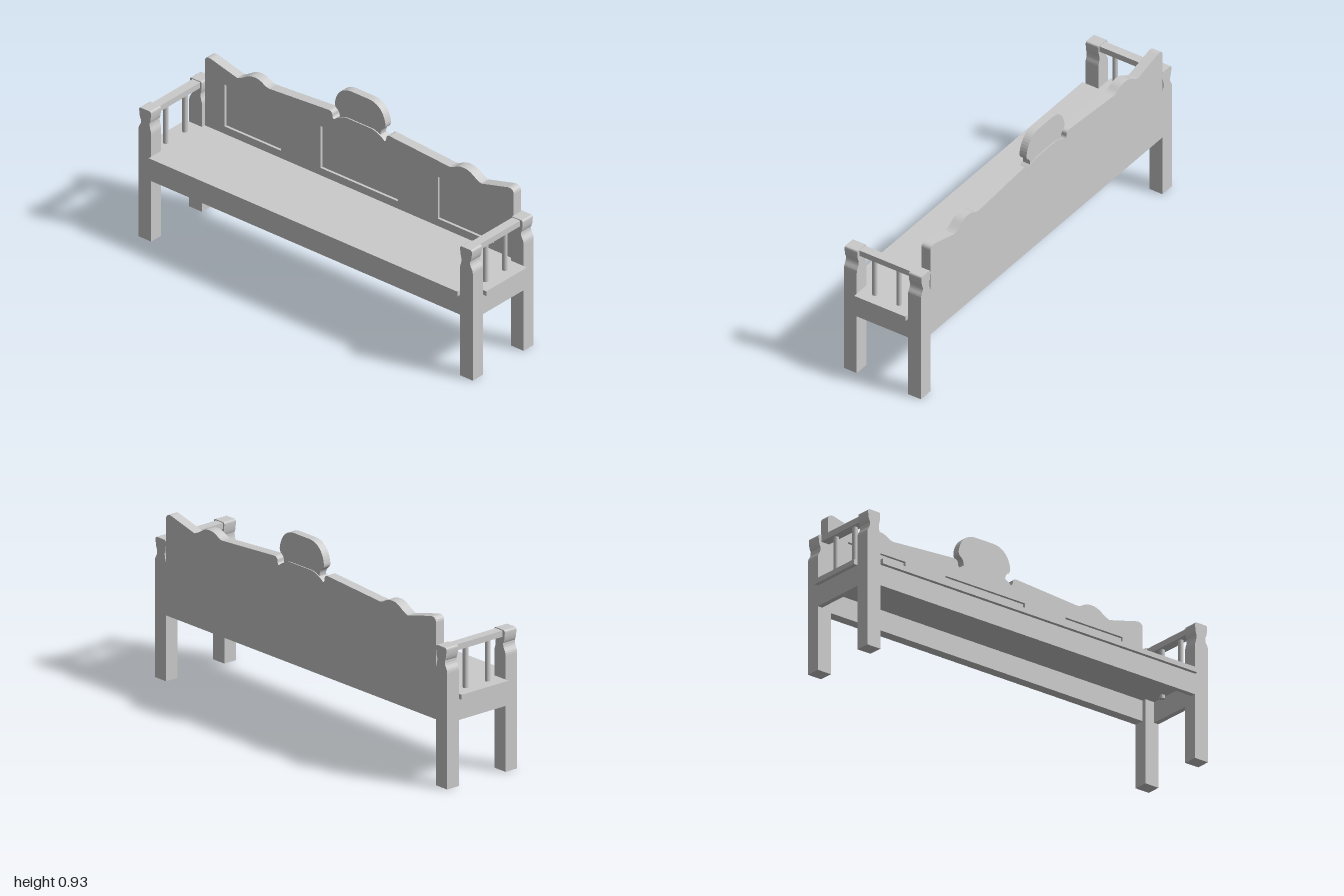
import * as THREE from 'three';

const material = new THREE.MeshStandardMaterial({ color: 0xcccccc, flatShading: true });

function add(group, name, geometry) {
  const mesh = new THREE.Mesh(geometry, material);
  mesh.name = name;
  group.add(mesh);
  return mesh;
}

// Box given by its minimum and maximum on each axis
function box(group, name, [x0, x1], [y0, y1], [z0, z1]) {
  const mesh = add(group, name, new THREE.BoxGeometry(x1 - x0, y1 - y0, z1 - z0));
  mesh.position.set((x0 + x1) / 2, (y0 + y1) / 2, (z0 + z1) / 2);
}

// Shape extruded from z0 to z1
function slab(group, name, shape, z0, z1) {
  const geometry = new THREE.ExtrudeGeometry(shape, { depth: z1 - z0, bevelEnabled: false, curveSegments: 8 });
  add(group, name, geometry.translate(0, 0, z0));
}

// Closed outline, symmetric about x = 0, from the points of its right half
function mirroredShape(half) {
  const left = half.map((p) => new THREE.Vector2(-p.x, p.y)).reverse();
  return new THREE.Shape([...half, ...left]);
}

// Post outline with a waisted, rounded top; side is +1 or -1
function postShape(side) {
  const s = new THREE.Shape();
  s.moveTo(0.905, 0);
  s.lineTo(0.98, 0);
  s.lineTo(0.98, 0.55);
  s.bezierCurveTo(0.98, 0.575, 0.963, 0.575, 0.964, 0.605);
  s.quadraticCurveTo(0.974, 0.62, 0.975, 0.655);
  s.quadraticCurveTo(0.975, 0.667, 0.965, 0.667);
  s.lineTo(0.914, 0.667);
  s.quadraticCurveTo(0.906, 0.667, 0.906, 0.655);
  s.quadraticCurveTo(0.907, 0.62, 0.914, 0.605);
  s.bezierCurveTo(0.915, 0.575, 0.905, 0.575, 0.905, 0.55);
  const points = s.getPoints(6).map((p) => new THREE.Vector2(p.x * side, p.y));
  return new THREE.Shape(points);
}

// Scalloped backrest outline
function backShape() {
  const s = new THREE.Path();
  s.moveTo(0.905, 0.312);
  s.lineTo(0.905, 0.77);
  s.quadraticCurveTo(0.903, 0.797, 0.87, 0.792);
  s.lineTo(0.715, 0.752);
  s.bezierCurveTo(0.67, 0.765, 0.66, 0.795, 0.61, 0.794);
  s.bezierCurveTo(0.565, 0.793, 0.56, 0.77, 0.528, 0.768);
  s.lineTo(0.18, 0.792);
  s.quadraticCurveTo(0.158, 0.792, 0.158, 0.772);
  s.quadraticCurveTo(0.158, 0.76, 0.148, 0.755);
  s.quadraticCurveTo(0.12, 0.78, 0.075, 0.79);
  return mirroredShape(s.getPoints(8));
}

// Rounded crest on a narrow neck
function crestShape() {
  const s = new THREE.Path();
  s.moveTo(0.12, 0.765);
  s.quadraticCurveTo(0.115, 0.8, 0.138, 0.814);
  s.quadraticCurveTo(0.15, 0.822, 0.148, 0.84);
  s.bezierCurveTo(0.14, 0.895, 0.105, 0.932, 0.05, 0.932);
  return mirroredShape(s.getPoints(10));
}

export function createModel() {
  const bench = new THREE.Group();
  bench.name = 'bench';

  // Backrest: solid rear layer, front layer cut out for three recessed panels
  const backrest = new THREE.Group();
  backrest.name = 'backrest';
  bench.add(backrest);
  slab(backrest, 'backBoard', backShape(), -0.216, -0.18);
  const frame = backShape();
  for (const [x0, x1] of [[-0.79, -0.46], [-0.228, 0.228], [0.46, 0.79]]) {
    frame.holes.push(new THREE.Path([[x0, 0.475], [x0, 0.69], [x1, 0.69], [x1, 0.475]]
      .map(([x, y]) => new THREE.Vector2(x, y))));
  }
  slab(backrest, 'panelFrame', frame, -0.18, -0.167);
  slab(backrest, 'crest', crestShape(), -0.211, -0.173);

  // Seat board and front rail
  box(bench, 'seat', [-0.905, 0.905], [0.413, 0.437], [-0.167, 0.217]);
  box(bench, 'frontApron', [-0.905, 0.905], [0.312, 0.413], [0.175, 0.2]);

  // End frames
  for (const side of [1, -1]) {
    const end = new THREE.Group();
    end.name = side > 0 ? 'leftEnd' : 'rightEnd';
    bench.add(end);
    const span = (a, b) => (side > 0 ? [a, b] : [-b, -a]);

    slab(end, 'frontPost', postShape(side), 0.131, 0.2);
    slab(end, 'backPost', postShape(side), -0.216, -0.147);
    box(end, 'sideApron', span(0.955, 0.98), [0.312, 0.413], [-0.147, 0.131]);
    box(end, 'sideLedge', span(0.905, 1), [0.413, 0.437], [-0.147, 0.131]);
    box(end, 'armRail', span(0.915, 0.96), [0.634, 0.663], [-0.147, 0.131]);

    for (const z of [0.062, -0.069]) {
      const spindle = add(end, 'spindle', new THREE.CylinderGeometry(0.0125, 0.0125, 0.245, 16));
      spindle.material = material.clone();
      spindle.material.flatShading = false;
      spindle.position.set(side * 0.9375, 0.5175, z);
    }
  }
  return bench;
}
